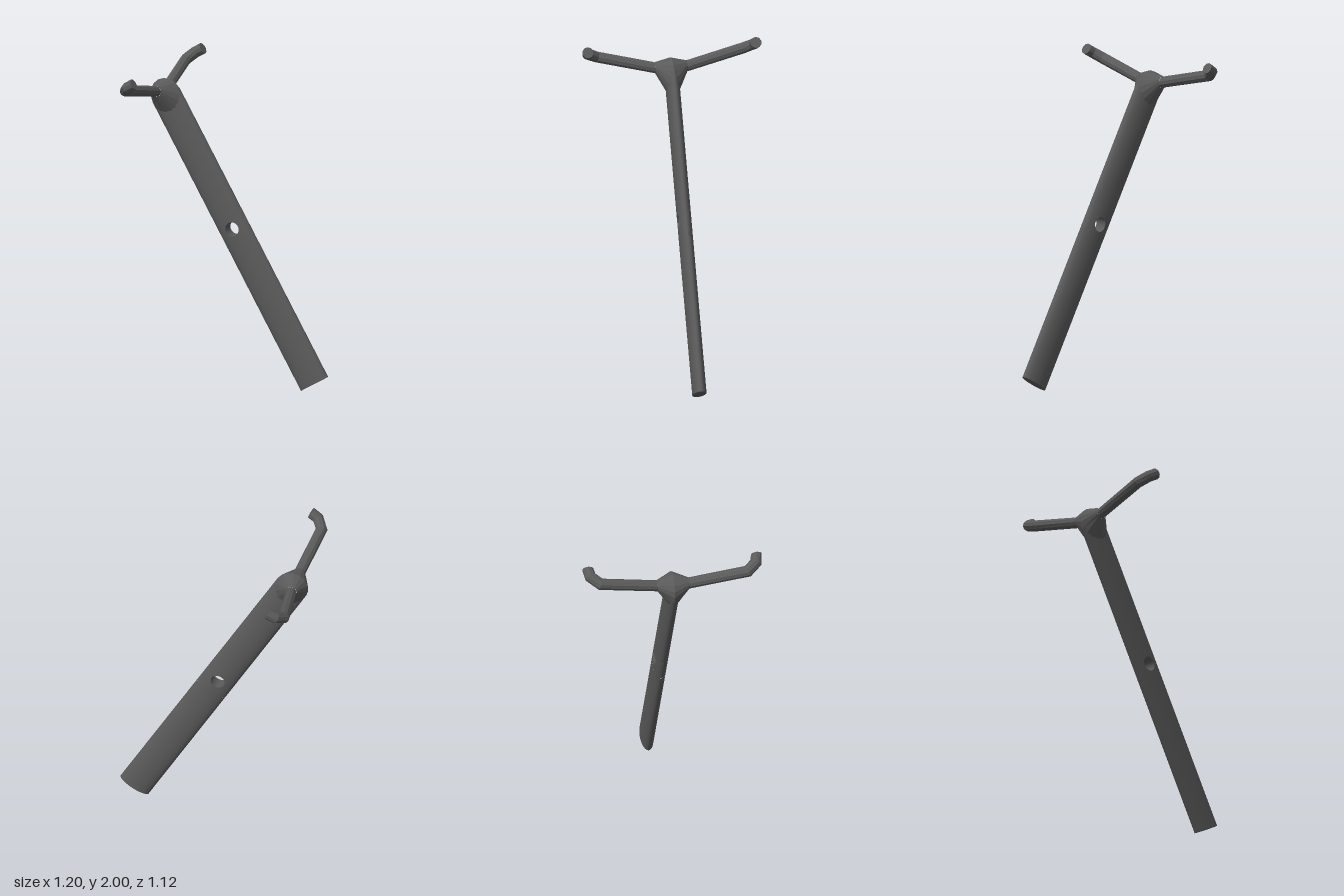
import * as THREE from 'three';
import { mergeGeometries } from 'three/addons/utils/BufferGeometryUtils.js';

const R = 0.104, H = 0.042;          // half width and half thickness of the oval bar
const LENGTH = 2.01, HOLE_Y = -0.928, HOLE_R = 0.045;
const V = (x, y, z) => new THREE.Vector3(x, y, z);
const ringOf = (n, fn) => Array.from({ length: n }, (_, i) => fn((i / n) * Math.PI * 2));

// Skin closed rings of points, counter-clockwise around the direction of travel
function loft(rings) {
  const n = rings[0].length, index = [];
  for (let i = 0; i < rings.length - 1; i++) {
    for (let j = 0; j < n; j++) {
      const k = (j + 1) % n, a = i * n + j, b = i * n + k;
      index.push(a, b, b + n, a, b + n, a + n);
    }
  }
  const g = new THREE.BufferGeometry().setFromPoints(rings.flat());
  g.setIndex(index);
  g.computeVertexNormals();
  return g;
}

// Point on the bar's front or back, by angle around the oval
const onBar = (a, y) => V(R * Math.sin(a), y, H * Math.cos(a));
const barRing = (y) => ringOf(32, (a) => onBar(a, y));

function barGeometry() {
  const top = HOLE_Y + R, bottom = HOLE_Y - R;
  const parts = [
    loft([barRing(-LENGTH), barRing(bottom)]),
    loft([barRing(top), barRing(0)]),
    loft([barRing(-LENGTH).map(() => V(0, -LENGTH, 0)), barRing(-LENGTH)]),
  ];
  // Curved patch between the round hole and the plain bar, front and back
  const rings = [];
  for (let i = 0; i <= 6; i++) {
    const f = i / 6;
    rings.push(ringOf(48, (t) => {
      const c = Math.cos(t), s = Math.sin(t), m = Math.max(Math.abs(c), Math.abs(s));
      const a = THREE.MathUtils.lerp((c / m) * Math.PI / 2, Math.asin(HOLE_R * c / R), f);
      return onBar(a, HOLE_Y + THREE.MathUtils.lerp((s / m) * R, HOLE_R * s, f));
    }));
  }
  const patch = loft(rings);
  parts.push(patch, patch.clone().rotateY(Math.PI));
  // Wall of the hole
  const rim = rings[6];
  parts.push(loft([rim, rim.map((p) => V(p.x, p.y, -p.z))]));
  parts.forEach((g) => g.deleteAttribute('uv'));
  return mergeGeometries(parts);
}

// Faceted half of the hub, from the bar's rounded end to the root of an arm
function hubGeometry() {
  const n = 16;
  const base = ringOf(n, (t) => V(R * Math.cos(t), R * Math.sin(t), H * Math.max(0, -Math.sin(t))));
  const root = ringOf(n, (t) => V(0.035 * Math.cos(t), 0.045 + 0.035 * Math.sin(t), 0.1));
  return loft([base, root]);
}

// Bent arm with mitred joints and a flat tip
function armGeometry() {
  const path = [V(0, 0.045, 0.1), V(0, 0.135, 0.46), V(0.05, 0.147, 0.518), V(0.105, 0.147, 0.527)];
  const normals = [V(0, 0, 1), V(0.36, 0.2, 0.9), V(0.86, 0.1, 0.46), V(1, 0, 0)];
  const rings = path.map((p, i) => {
    const n = normals[i].normalize();
    const v = V(0, 1, 0).addScaledVector(n, -n.y).normalize();
    const w = n.clone().cross(v);
    const stretch = i === 1 || i === 2 ? 1.07 : 1;
    return ringOf(10, (t) => p.clone()
      .addScaledVector(v, 0.035 * Math.cos(t))
      .addScaledVector(w, 0.035 * stretch * Math.sin(t)));
  });
  const tip = path[3];
  return mergeGeometries([loft(rings), loft([rings[3], rings[3].map(() => tip.clone())])]);
}

export function createModel() {
  const model = new THREE.Group();
  model.name = 'forkedBar';
  const color = 0x5a5a5a;
  const smooth = new THREE.MeshStandardMaterial({ color });
  const faceted = new THREE.MeshStandardMaterial({ color, flatShading: true });

  // Everything is built upright around the hub, then leaned over
  const body = new THREE.Group();
  body.name = 'leaningBody';
  body.position.set(-0.493, 1.794, 0);
  body.rotation.z = Math.PI / 6;
  model.add(body);

  const bar = new THREE.Mesh(barGeometry(), smooth);
  bar.name = 'bar';
  body.add(bar);

  const hub = hubGeometry(), arm = armGeometry();
  for (const [side, sign] of [['front', 1], ['back', -1]]) {
    const half = new THREE.Group();
    half.name = side + 'Fork';
    half.scale.z = sign;
    const hubMesh = new THREE.Mesh(hub, faceted);
    hubMesh.name = side + 'Hub';
    const armMesh = new THREE.Mesh(arm, faceted);
    armMesh.name = side + 'Arm';
    half.add(hubMesh, armMesh);
    body.add(half);
  }
  return model;
}
